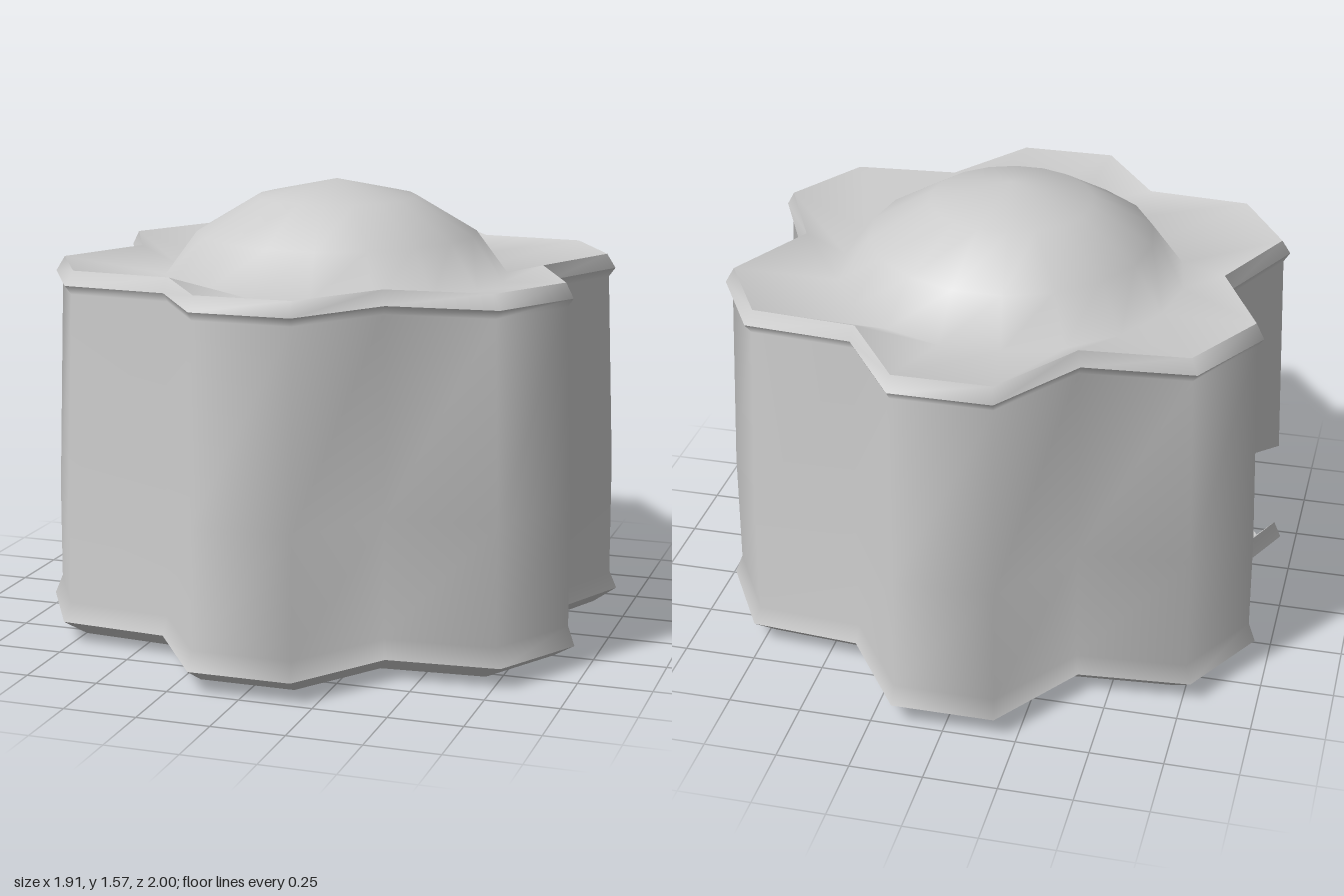
import * as THREE from 'three';
import { mergeVertices } from 'three/addons/utils/BufferGeometryUtils.js';

const SEGMENTS = 18;
const VALLEY = 0.79, TIP = 1.015;

// Six-lobed outline: every third column is a valley, the others are tips.
const starRadius = (i) => (i % 3 === 0 ? VALLEY : TIP);

// A ring is either a scaled star or a circle; its height may vary by column.
const star = (scale, y) => ({ radius: (i) => starRadius(i) * scale, y: typeof y === 'function' ? y : () => y });
const circle = (r, y) => ({ radius: () => r, y: () => y });

// Skin a list of rings; skip(row, column) leaves out a quad.
function loft(name, rings, skip = () => false) {
  const positions = [], indices = [];
  for (const ring of rings) {
    for (let i = 0; i < SEGMENTS; i++) {
      const a = (i / SEGMENTS) * Math.PI * 2, r = ring.radius(i);
      positions.push(Math.cos(a) * r, ring.y(i), Math.sin(a) * r);
    }
  }
  for (let row = 0; row < rings.length - 1; row++) {
    for (let i = 0; i < SEGMENTS; i++) {
      if (skip(row, i)) continue;
      const j = (i + 1) % SEGMENTS;
      const a = row * SEGMENTS + i, b = row * SEGMENTS + j;
      const d = a + SEGMENTS, c = b + SEGMENTS;
      indices.push(a, d, b, d, c, b);
    }
  }
  let geometry = new THREE.BufferGeometry();
  geometry.setAttribute('position', new THREE.Float32BufferAttribute(positions, 3));
  geometry.setIndex(indices);
  geometry = mergeVertices(geometry);
  geometry.computeVertexNormals();
  const mesh = new THREE.Mesh(geometry, new THREE.MeshStandardMaterial({ color: 0xcccccc }));
  mesh.name = name;
  return mesh;
}

export function createModel() {
  const group = new THREE.Group();
  group.name = 'lobedPavilion';

  // Doorway in the valley on the -x side: highest in the middle
  const lintel = (i) => (i === 9 ? 0.57 : i === 8 || i === 10 ? 0.47 : 0.55);
  const isDoor = (row, i) => row === 1 && (i === 8 || i === 9);

  group.add(
    // Underside with a shallow point, and the bevel around it
    loft('underside', [circle(0, 0), circle(0.25, 0.02), star(0.92, 0.025)]),
    loft('baseBevel', [star(0.92, 0.025), star(1, 0.075)]),
    // Wall: flared foot, slight taper, flared cornice
    loft('wall', [
      star(1, 0.075), star(0.974, 0.14), star(0.972, lintel),
      star(0.945, 1.22), star(0.967, 1.25),
    ], isDoor),
    loft('corniceBevel', [star(0.967, 1.25), star(0.937, 1.3)]),
    // Roof dips from the rim and rises into the dome
    loft('roofAndDome', [
      star(0.937, 1.3), circle(0.6, 1.235), circle(0.49, 1.385),
      circle(0.28, 1.51), circle(0, 1.57),
    ]),
    // Floor seen through the doorway
    loft('floor', [star(0.91, 0.09), circle(0, 0.09)]),
    loft('doorSill', [star(0.974, 0.14), star(0.91, 0.09)], (row, i) => i !== 8 && i !== 9),
  );
  return group;
}
